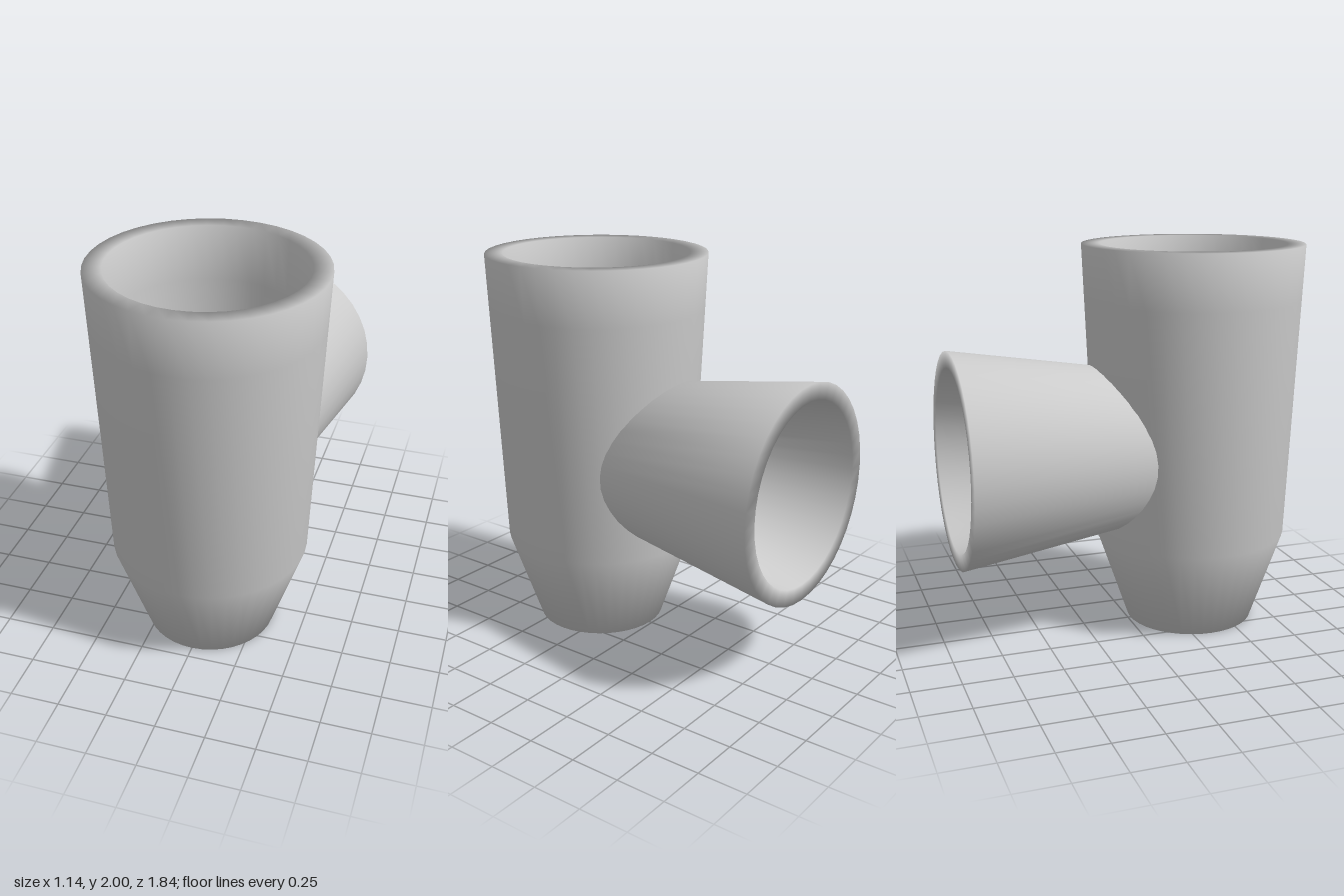
import * as THREE from 'three';

const material = new THREE.MeshStandardMaterial({ color: 0xcccccc });

// Hollow cup turned from a profile: outer wall, rim, inner wall, floor
function cup(name, profile) {
  const points = profile.map(([r, y]) => new THREE.Vector2(r, y));
  const mesh = new THREE.Mesh(new THREE.LatheGeometry(points, 40), material);
  mesh.name = name;
  return mesh;
}

export function createModel() {
  const group = new THREE.Group();
  group.name = 'branchedPipe';

  // Upright pipe with a tapered closed base
  const mainPipe = cup('mainPipe', [
    [0, 0], [0.335, 0], [0.5, 0.48], [0.557, 1.72], [0.57, 2],
    [0.48, 2], [0.47, 1.72], [0.42, 0.5], [0.26, 0.09], [0, 0.09],
  ]);
  mainPipe.position.z = 0.35;
  group.add(mainPipe);

  // Flared branch opening to the back, its closed end inside the main pipe
  const branchPipe = cup('branchPipe', [
    [0, 0], [0.4, 0], [0.55, 0.96],
    [0.465, 0.96], [0.33, 0.09], [0, 0.09],
  ]);
  branchPipe.rotation.x = -Math.PI / 2;
  branchPipe.position.set(0, 0.96, 0.04);
  group.add(branchPipe);

  return group;
}
